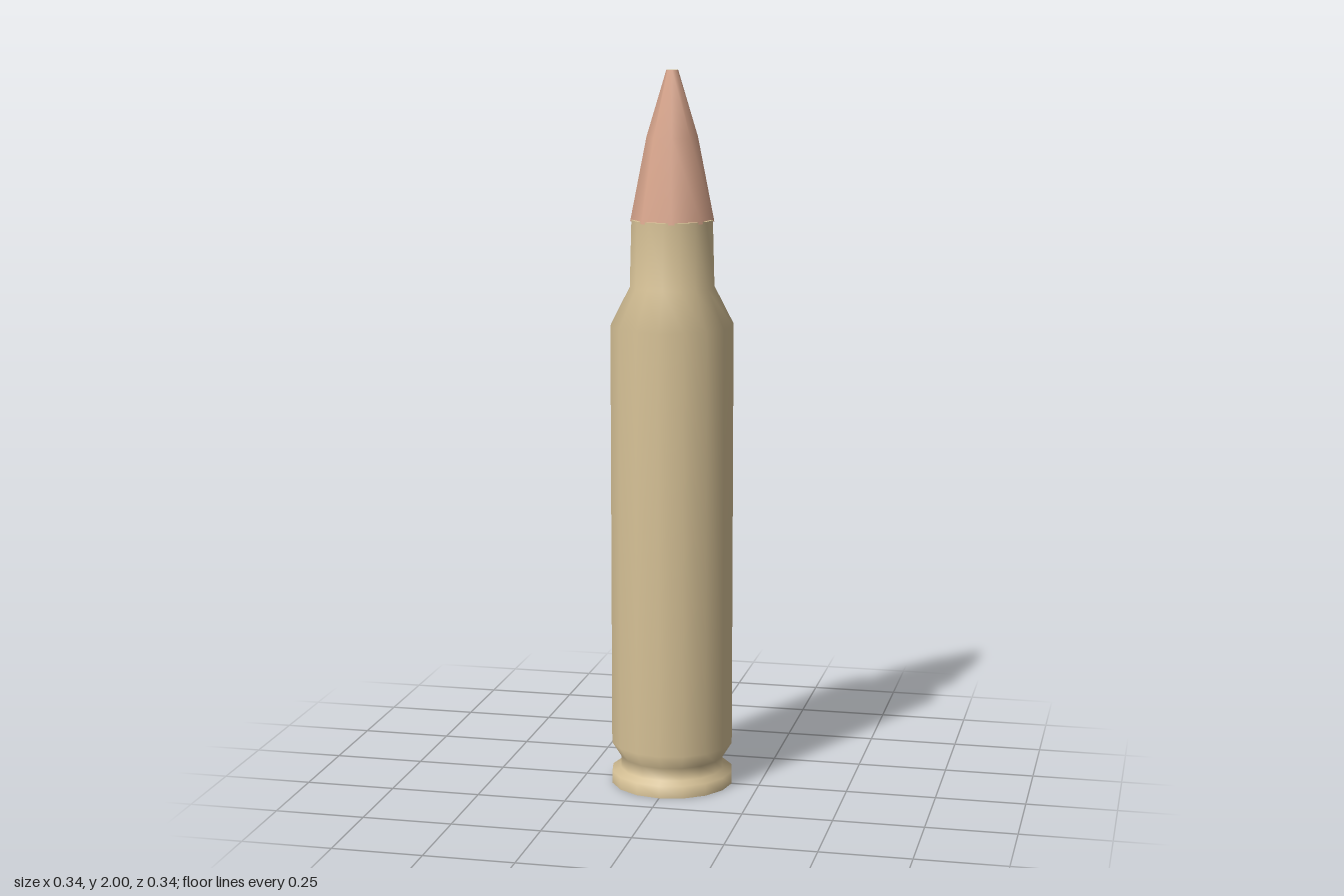
import * as THREE from 'three';

const SIDES = 16;       // casing facets
const TIP_SIDES = 8;    // projectile facets

export function createModel() {
  const group = new THREE.Group();
  const brass = new THREE.MeshStandardMaterial({ color: 0xd6c196 });
  brass.name = 'brass';
  const copper = new THREE.MeshStandardMaterial({ color: 0xd9a68d });
  copper.name = 'copper';

  const add = (name, geometry, material) => {
    const mesh = new THREE.Mesh(geometry, material);
    mesh.name = name;
    group.add(mesh);
    return mesh;
  };
  const lathe = (points, sides, start = 0) => new THREE.LatheGeometry(
    points.map(([r, y]) => new THREE.Vector2(r, y)), sides, start);

  // Rim, extractor groove, body, shoulder and neck
  add('casing', lathe([
    [0.172, 0], [0.172, 0.035], [0.146, 0.043], [0.146, 0.078], [0.172, 0.12],
    [0.172, 1.305], [0.118, 1.41], [0.113, 1.595],
  ], SIDES), brass);

  // Flat underside of the rim
  add('casingBase', new THREE.CircleGeometry(0.172, SIDES).rotateX(Math.PI / 2), brass);

  // Narrow lip closing the neck around the projectile
  add('neckLip', lathe([[0.113, 1.595], [0.1, 1.597]], SIDES), brass);

  // Tapered projectile, turned so its corners meet the neck's edge midpoints
  add('projectile', lathe([
    [0.115, 1.59], [0.07, 1.82], [0.016, 2],
  ], TIP_SIDES, Math.PI / 16), copper);

  // Small flat end of the projectile
  const tip = add('projectileTip',
    new THREE.CircleGeometry(0.016, TIP_SIDES, Math.PI / 16).rotateX(-Math.PI / 2), brass);
  tip.position.y = 2;

  return group;
}
